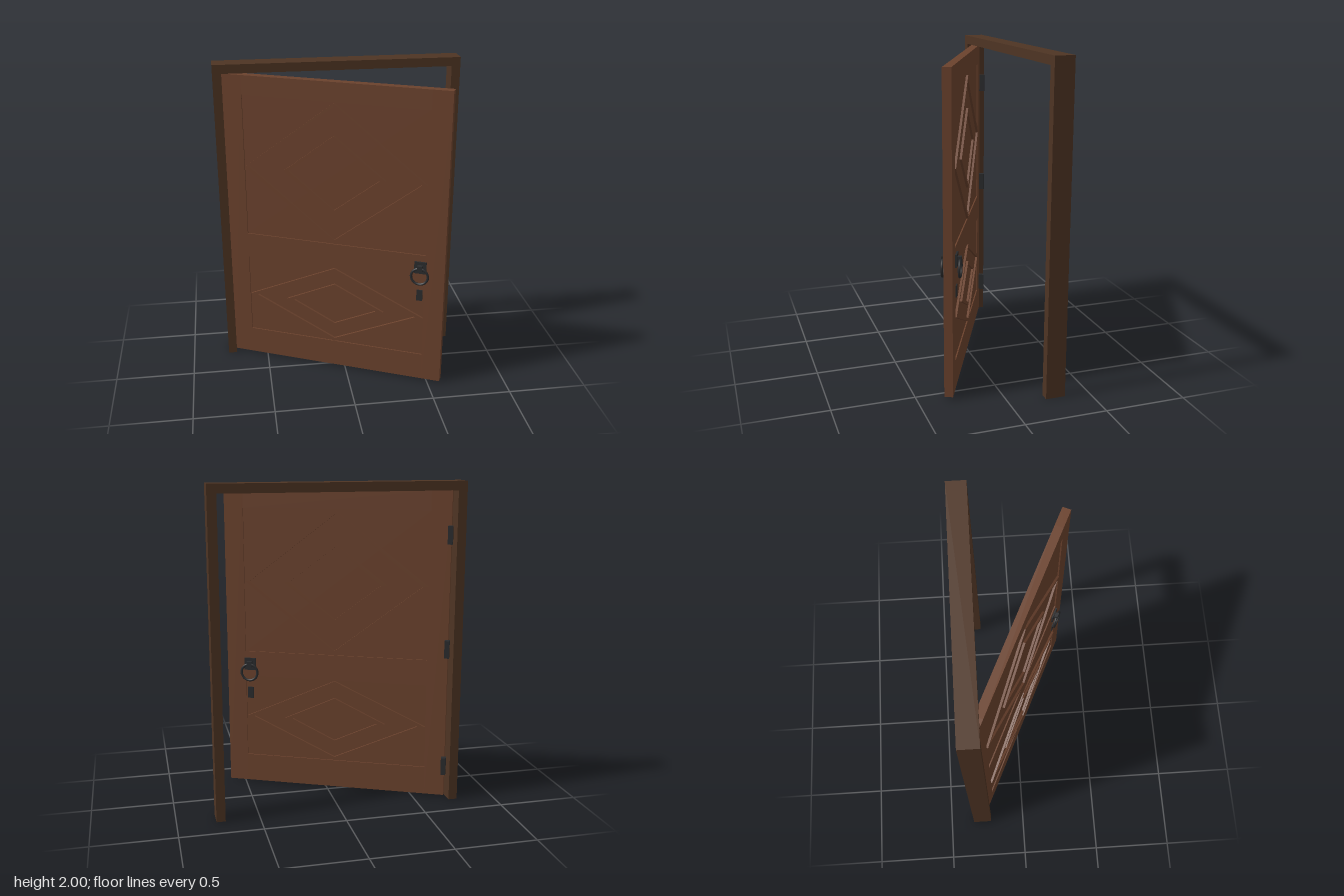
import * as THREE from 'three';

const material = (name, color) => {
  const m = new THREE.MeshStandardMaterial({ color });
  m.name = name;
  return m;
};

export function createModel() {
  const frameWood = material('dark frame wood', 0x4e3423);
  const doorWood = material('door wood', 0x6b422d);
  const iron = material('black iron', 0x2a2b2d);

  const add = (parent, name, geometry, mat, x = 0, y = 0, z = 0) => {
    const mesh = new THREE.Mesh(geometry, mat);
    mesh.name = name;
    mesh.position.set(x, y, z);
    parent.add(mesh);
    return mesh;
  };
  const box = (parent, name, mat, x0, x1, y0, y1, z0, z1) =>
    add(parent, name, new THREE.BoxGeometry(x1 - x0, y1 - y0, z1 - z0), mat,
      (x0 + x1) / 2, (y0 + y1) / 2, (z0 + z1) / 2);

  const model = new THREE.Group();
  model.name = 'panelledDoor';

  // Door frame: two posts and a lintel
  const frame = new THREE.Group();
  frame.name = 'doorFrame';
  model.add(frame);
  box(frame, 'rightPost', frameWood, -0.765, -0.71, 0, 1.945, -0.345, -0.225);
  box(frame, 'leftPost', frameWood, 0.71, 0.765, 0, 1.945, -0.345, -0.225);
  box(frame, 'lintel', frameWood, -0.765, 0.765, 1.945, 2, -0.345, -0.225);

  // Door leaf, swung open about the hinge side; local x runs along the leaf
  const W = 1.42, T = 0.026, RECESS = 0.008, BOTTOM = 0.015, TOP = 1.94;
  const P0 = 0.125, P1 = 1.298;
  const door = new THREE.Group();
  door.name = 'doorLeaf';
  door.position.set(-0.7, 0, -0.281);
  door.rotation.y = -THREE.MathUtils.degToRad(25);
  model.add(door);

  // Stiles, rails and recessed panels
  box(door, 'hingeStile', doorWood, 0, P0, BOTTOM, TOP, -T, T);
  box(door, 'lockStile', doorWood, P1, W, BOTTOM, TOP, -T, T);
  for (const [name, y0, y1] of [['bottomRail', BOTTOM, 0.195], ['middleRail', 0.735, 0.9], ['topRail', 1.82, TOP]])
    box(door, name, doorWood, P0, P1, y0, y1, -T, T);
  const panels = [
    { name: 'lowerPanel', y0: 0.195, y1: 0.735, diamonds: [[0.582, 0.266], [0.325, 0.153]] },
    { name: 'upperPanel', y0: 0.9, y1: 1.82, diamonds: [[0.582, 0.455], [0.325, 0.253]] },
  ];

  // Diamond moulding: a rhombus ring of even bar width
  const diamond = (a, b, bar, depth) => {
    const trace = (path, k) => path.moveTo(a * k, 0).lineTo(0, b * k).lineTo(-a * k, 0).lineTo(0, -b * k).closePath();
    const shape = trace(new THREE.Shape(), 1);
    const inset = 1 - bar * Math.hypot(a, b) / (a * b);
    shape.holes.push(trace(new THREE.Path(), inset));
    return new THREE.ExtrudeGeometry(shape, { depth, bevelEnabled: false });
  };

  // Ring handle, back plate and key plate for one face
  const addHandle = (side) => {
    const x = 1.268;
    box(side, 'handlePlate', iron, x - 0.038, x + 0.038, 0.778, 0.857, T, T + 0.01);
    box(side, 'handleBoss', iron, x - 0.016, x + 0.016, 0.8, 0.838, T + 0.01, T + 0.034);
    add(side, 'handleRing', new THREE.TorusGeometry(0.053, 0.008, 8, 28), iron, x, 0.766, T + 0.025);
    box(side, 'keyPlate', iron, x - 0.019, x + 0.019, 0.588, 0.662, T, T + 0.006);
  };

  for (const p of panels)
    box(door, p.name, doorWood, P0, P1, p.y0, p.y1, -T + RECESS, T - RECESS);

  // Mouldings and ironwork on both faces
  for (const front of [true, false]) {
    const side = new THREE.Group();
    side.name = front ? 'frontFace' : 'backFace';
    door.add(side);
    for (const p of panels)
      for (const [a, b] of p.diamonds)
        add(side, 'diamondMoulding', diamond(a, b, 0.02, 0.014), doorWood,
          (P0 + P1) / 2, (p.y0 + p.y1) / 2, T - RECESS);
    addHandle(side);
    if (!front) {
      // Turn about the leaf's mid line, then shift so the lock side matches
      side.rotation.y = Math.PI;
      side.position.x = P0 + P1;
      for (const child of side.children)
        child.position.x = P0 + P1 - child.position.x;
    }
  }

  // Hinges behind the hinge stile
  for (const y of [0.22, 0.98, 1.68])
    box(door, 'hinge', iron, -0.01, 0.02, y - 0.055, y + 0.055, -0.06, -0.02);

  return model;
}
